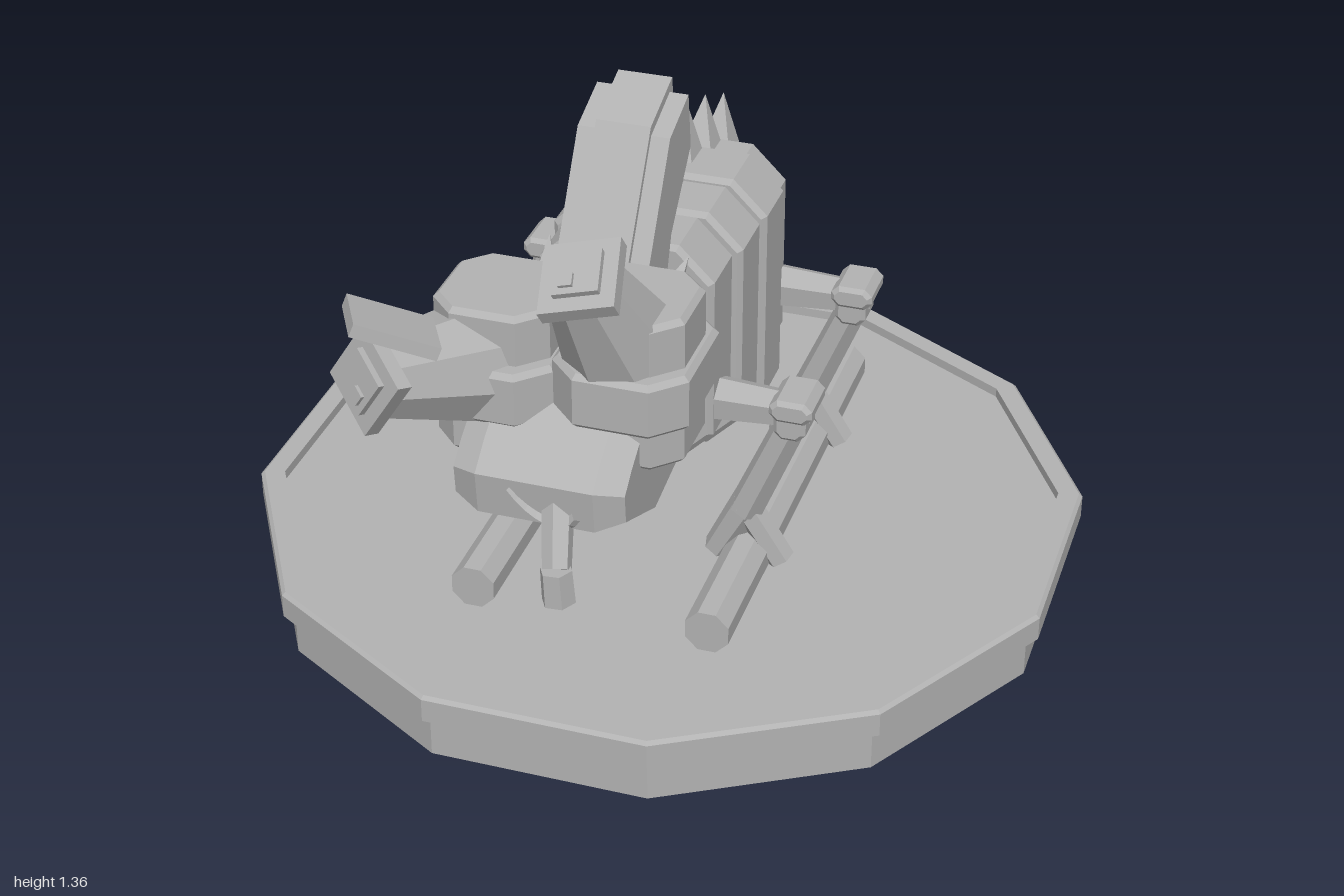
import * as THREE from 'three';

const V = (x, y, z) => new THREE.Vector3(x, y, z);
const UP = V(0, 1, 0);

export function createModel() {
  const root = new THREE.Group();
  const grey = new THREE.MeshStandardMaterial({ color: 0xb2b2b2, flatShading: true });
  grey.name = 'stone grey';

  function add(name, geo, parent = root) {
    const mesh = new THREE.Mesh(geo, grey);
    mesh.name = name;
    parent.add(mesh);
    return mesh;
  }

  // Tapered bar between two points
  function bar(name, a, b, ra, rb, sides = 6) {
    const geo = new THREE.CylinderGeometry(rb, ra, a.distanceTo(b), sides);
    geo.rotateY(Math.PI / sides);
    const mesh = add(name, geo);
    mesh.position.copy(a).lerp(b, 0.5);
    mesh.quaternion.setFromUnitVectors(UP, b.clone().sub(a).normalize());
    return mesh;
  }

  // Rectangle with cut corners, extruded along z and centred
  function chamferBlock(w, h, d, cut, bevel = 0.012) {
    const x = w / 2 - bevel, y = h / 2 - bevel, c = cut;
    const shape = new THREE.Shape([
      [-x + c, -y], [x - c, -y], [x, -y + c], [x, y - c],
      [x - c, y], [-x + c, y], [-x, y - c], [-x, -y + c],
    ].map(p => new THREE.Vector2(...p)));
    const geo = new THREE.ExtrudeGeometry(shape, {
      depth: d - 2 * bevel, bevelEnabled: true, bevelSize: bevel, bevelThickness: bevel, bevelSegments: 1,
    });
    return geo.translate(0, 0, bevel - d / 2);
  }

  // Side outline (z, y) extruded across x, with chamfered cheeks
  function sideBlock(points, half, bevelSize, bevelDepth) {
    const shape = new THREE.Shape(points.map(p => new THREE.Vector2(...p)));
    const depth = 2 * (half - bevelDepth);
    const geo = new THREE.ExtrudeGeometry(shape, {
      depth, bevelEnabled: bevelSize > 0, bevelSize, bevelOffset: -bevelSize,
      bevelThickness: bevelDepth, bevelSegments: 1,
    });
    return geo.translate(0, 0, -depth / 2).rotateY(-Math.PI / 2);
  }

  // Twelve-sided plinth with a raised rim
  const rim = [[0, 0], [0.975, 0], [0.975, 0.1], [1.004, 0.11], [1.004, 0.168],
    [0.995, 0.176], [0.945, 0.176], [0.945, 0.152], [0, 0.152]];
  const plinth = add('plinth', new THREE.LatheGeometry(rim.map(p => new THREE.Vector2(...p)), 12));
  plinth.rotation.y = Math.PI / 12;
  plinth.position.z = -0.025;

  // Body rings: z front, z back, bottom, top, half width
  [
    [0.46, 0.29, 0.53, 0.96, 0.18],
    [0.3, 0.145, 0.465, 1.025, 0.205],
    [0.145, -0.005, 0.42, 1.03, 0.225],
    [-0.005, -0.16, 0.395, 1.04, 0.237],
    [-0.16, -0.315, 0.43, 0.985, 0.2],
    [-0.315, -0.455, 0.47, 0.91, 0.16],
  ].forEach(([z1, z0, y0, y1, w]) => {
    const ring = add('bodyRing', chamferBlock(w * 2, y1 - y0, z1 - z0, 0.075));
    ring.position.set(0, (y0 + y1) / 2, (z0 + z1) / 2);
  });

  // Back spikes, tips leaning backwards
  [[0.05, 1.03, 1.16], [-0.1, 1.03, 1.16], [-0.255, 0.97, 1.1], [-0.405, 0.9, 1.035]].forEach(([z, y0, y1]) => {
    const geo = new THREE.ConeGeometry(0.062, y1 - y0, 4).rotateY(Math.PI / 4);
    const p = geo.attributes.position;
    for (let i = 0; i < p.count; i++) if (p.getY(i) > 0) p.setZ(i, -0.045);
    add('backSpike', geo).position.set(0, (y0 + y1) / 2, z);
  });

  // Head and crest
  add('head', sideBlock([[0.9, 0.76], [0.89, 0.66], [0.67, 0.56], [0.37, 0.61], [0.335, 0.83],
    [0.36, 0.97], [0.48, 1.0], [0.62, 0.95], [0.84, 0.81]].reverse(), 0.19, 0.03, 0.06));
  const crest = [[0.5, 0.99], [0.3, 1.31], [0.15, 1.36], [0.13, 1.21], [0.29, 1.04], [0.33, 0.93]];
  add('crestCore', sideBlock(crest, 0.062, 0, 0));
  const inset = crest.map(([z, y]) => [0.29 + (z - 0.29) * 0.87, 1.13 + (y - 1.13) * 0.88]);
  add('crestSides', sideBlock(inset, 0.105, 0, 0));
  for (const s of [-1, 1]) {
    bar('headSpike', V(s * 0.13, 0.94, 0.44), V(s * 0.16, 1.03, 0.34), 0.045, 0.001, 4);
  }

  // Smile and tongue
  const smile = add('smile', new THREE.TorusGeometry(0.13, 0.013, 4, 8, 1.9));
  smile.rotation.z = -Math.PI / 2 - 0.95;
  smile.scale.y = 1;
  smile.scale.x = 0.55;
  smile.position.set(0, 0.78, 0.893);
  bar('tongue', V(0.04, 0.71, 0.86), V(0.065, 0.59, 0.945), 0.036, 0.032);
  bar('tongueTip', V(0.065, 0.595, 0.95), V(0.07, 0.515, 0.95), 0.036, 0.038);

  // Eye turrets, each with a snout-like eye aimed its own way
  function eye(x, y, target, roll, lidded) {
    const turret = add('eyeTurret', chamferBlock(0.26, 0.26, 0.35, 0.05).rotateX(Math.PI / 2));
    turret.position.set(x, y, 0.64);
    const band = add('eyeBand', chamferBlock(0.3, 0.345, 0.13, 0.06).rotateX(Math.PI / 2));
    band.position.set(x, y - 0.005, 0.64);

    const stalk = new THREE.Group();
    stalk.name = 'eyeStalk';
    const base = V(x, y, 0.64);
    const len = base.distanceTo(target);
    stalk.position.copy(base);
    stalk.quaternion.setFromUnitVectors(UP, target.clone().sub(base).normalize());
    stalk.rotateY(roll);
    root.add(stalk);
    add('eyeCone', new THREE.CylinderGeometry(0.085, 0.15, len - 0.03, 8).rotateY(Math.PI / 8), stalk).position.y = len / 2 - 0.015;
    add('eyePlate', new THREE.BoxGeometry(0.165, 0.035, 0.165), stalk).position.y = len - 0.018;
    add('iris', new THREE.BoxGeometry(0.1, 0.018, 0.1), stalk).position.y = len + 0.005;
    add('pupil', new THREE.BoxGeometry(0.03, 0.012, 0.03), stalk).position.set(-0.02, len + 0.016, 0.02);
    if (lidded) {
      const lid = bar('eyelid', V(-0.3, 1.115, 0.95), V(-0.26, 1.08, 0.86), 0.1, 0.1, 4);
      lid.geometry = new THREE.BoxGeometry(0.19, 0.03, 0.15);
      lid.rotation.set(-0.1, 0.5, -0.35);
      lid.position.set(-0.3, 1.085, 0.9);
    }
  }
  eye(0.14, 0.925, V(0.08, 1.23, 0.82), 0.15, false);
  eye(-0.155, 0.895, V(-0.345, 0.98, 0.955), 0.5, true);

  // Perches and legs
  for (const s of [-1, 1]) {
    bar('perch', V(s * 0.28, 0.212, -0.645), V(s * 0.28, 0.212, 0.575), 0.055, 0.055, 8);
    for (const z of [0.255, -0.28]) {
      bar('thigh', V(s * 0.15, 0.615, z - 0.02), V(s * 0.4, 0.63, z), 0.058, 0.042);
      const knee = add('knee', chamferBlock(0.1, 0.055, 0.13, 0.012, 0.01));
      knee.position.set(s * 0.39, 0.655, z);
      const cap = add('kneeCap', chamferBlock(0.075, 0.085, 0.1, 0.012, 0.01));
      cap.position.set(s * 0.385, 0.615, z);
      bar('shin', V(s * 0.39, 0.62, z), V(s * 0.27, 0.33, z - 0.015), 0.038, 0.042);
      bar('innerToe', V(s * 0.278, 0.35, z - 0.015), V(s * 0.2, 0.2, z - 0.025), 0.042, 0.034);
      bar('outerToe', V(s * 0.265, 0.35, z - 0.015), V(s * 0.355, 0.2, z - 0.025), 0.036, 0.034);
    }
  }

  // Curled tail: centre line (z, y) swept out to the right, tapering to its tip
  const path = [[-0.4, 0.68], [-0.52, 0.705], [-0.63, 0.71], [-0.74, 0.65], [-0.8, 0.545], [-0.805, 0.41],
    [-0.74, 0.305], [-0.64, 0.28], [-0.56, 0.355], [-0.535, 0.46], [-0.58, 0.54], [-0.65, 0.54], [-0.67, 0.49]];
  const curve = new THREE.CatmullRomCurve3(path.map(([z, y]) => {
    const d = z + 0.45;
    return V(0.8 * d - 0.7 * d * d, y, z);
  }));
  const steps = 13, sides = 8;
  const tail = new THREE.TubeGeometry(curve, steps, 1, sides);
  const p = tail.attributes.position;
  for (let i = 0; i < p.count; i++) {
    const t = Math.floor(i / (sides + 1)) / steps;
    const c = curve.getPointAt(t);
    const r = t === 1 ? 0.004 : 0.1 - 0.068 * t;
    const q = V(p.getX(i), p.getY(i), p.getZ(i)).sub(c).multiplyScalar(r).add(c);
    p.setXYZ(i, q.x, q.y, q.z);
  }
  add('tail', tail);

  return root;
}
